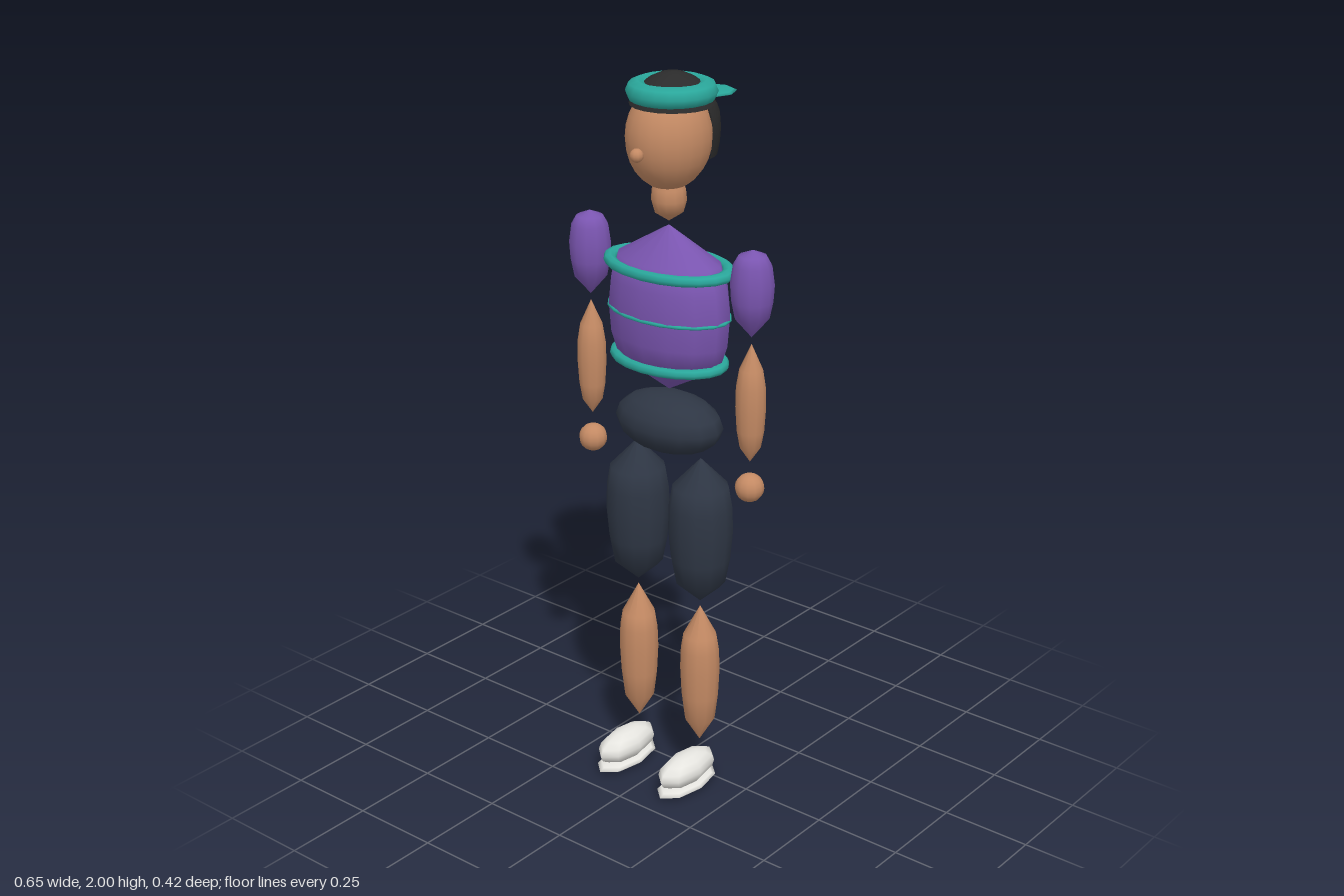
import * as THREE from 'three';

const mat = (name, color, opts = {}) => {
  const m = new THREE.MeshStandardMaterial({ color, ...opts });
  m.name = name;
  return m;
};

export function createModel() {
  const model = new THREE.Group();
  model.name = 'joggerFigure';
  const skin = mat('skin', 0xc48a64);
  const hair = mat('hair', 0x2b2b2b, { side: THREE.DoubleSide });
  const teal = mat('teal', 0x2aa79b);
  const purple = mat('purple', 0x7a55b0);
  const navy = mat('navy', 0x2e3644);
  const white = mat('shoeWhite', 0xe6e5e0);
  const BODY_Z = 0.03;

  const add = (name, geometry, material, x, y, z) => {
    const mesh = new THREE.Mesh(geometry, material);
    mesh.name = name;
    mesh.position.set(x, y, z);
    model.add(mesh);
    return mesh;
  };
  const ellipsoid = (name, material, [x, y, z], [rx, ry, rz], ws = 16, hs = 12) =>
    add(name, new THREE.SphereGeometry(1, ws, hs).scale(rx, ry, rz), material, x, y, z);
  // Turned body part; the profile is [radius, height] from bottom to top
  const turned = (name, material, profile, x = 0, z = BODY_Z, depth = 1, sides = 12, start = 0, sweep = Math.PI * 2) => {
    const points = profile.map(([r, y]) => new THREE.Vector2(r, y));
    return add(name, new THREE.LatheGeometry(points, sides, start, sweep).scale(1, 1, depth), material, x, 0, z);
  };
  const ring = (name, y, z, radius, tube, height, depth) =>
    add(name, new THREE.TorusGeometry(radius, tube, 8, 20).rotateX(Math.PI / 2).scale(1, height / tube, depth), teal, 0, y, z);

  // Head
  ellipsoid('head', skin, [0, 1.835, BODY_Z], [0.108, 0.137, 0.118], 20, 14);
  ellipsoid('nose', skin, [0, 1.812, 0.157], [0.018, 0.018, 0.018], 10, 8);
  turned('neck', skin, [[0, 1.613], [0.038, 1.638], [0.047, 1.67], [0.044, 1.70], [0.03, 1.735]]);

  // Hair: full crown above the forehead, open shell round the back
  turned('hairCrown', hair, [[0.111, 1.918], [0.1, 1.942], [0.083, 1.964], [0.06, 1.982], [0.032, 1.995], [0, 2]],
    0, 0.015, 1, 20);
  turned('hairBack', hair, [[0.114, 1.79], [0.12, 1.82], [0.123, 1.86], [0.12, 1.895], [0.111, 1.92]],
    0, 0.015, 1, 12, Math.PI * 0.52, Math.PI * 0.96);

  // Open-topped cap worn backwards
  ring('capBand', 1.951, 0.018, 0.088, 0.03, 0.029, 1);
  ellipsoid('capBrim', teal, [0, 1.919, -0.142], [0.067, 0.007, 0.068], 8, 6);

  // Torso and shirt bands
  turned('torso', purple, [[0, 1.15], [0.155, 1.235], [0.178, 1.30], [0.185, 1.38], [0.177, 1.45], [0.155, 1.512], [0, 1.603]],
    0, BODY_Z, 0.63, 14);
  ring('upperBand', 1.495, BODY_Z, 0.177, 0.02, 0.015, 0.64);
  ring('waistBand', 1.24, BODY_Z, 0.16, 0.017, 0.014, 0.69);
  ring('middleStripe', 1.371, BODY_Z, 0.181, 0.006, 0.005, 0.635);

  // Hips
  ellipsoid('hips', navy, [0, 1.058, BODY_Z], [0.163, 0.083, 0.107], 14, 8);

  for (const [side, s] of [['left', 1], ['right', -1]]) {
    // Arm
    const ax = s * 0.27;
    turned(`${side}UpperArm`, purple,
      [[0, 1.357], [0.045, 1.41], [0.054, 1.455], [0.057, 1.50], [0.05, 1.55], [0.036, 1.575], [0, 1.59]], ax);
    turned(`${side}Forearm`, skin,
      [[0, 1.013], [0.028, 1.055], [0.036, 1.10], [0.04, 1.165], [0.039, 1.22], [0.031, 1.27], [0, 1.34]], ax);
    ellipsoid(`${side}Hand`, skin, [ax, 0.94, BODY_Z], [0.039, 0.039, 0.039], 12, 10);

    // Leg
    const lx = s * 0.109;
    turned(`${side}Thigh`, navy,
      [[0, 0.558], [0.068, 0.62], [0.081, 0.69], [0.088, 0.77], [0.086, 0.84], [0.076, 0.90], [0, 0.98]], lx, 0.032);
    turned(`${side}Shin`, skin,
      [[0, 0.125], [0.042, 0.195], [0.051, 0.27], [0.055, 0.35], [0.053, 0.41], [0.046, 0.455], [0, 0.543]], lx, 0.032);

    // Shoe and flat sole
    ellipsoid(`${side}Shoe`, white, [lx, 0.06, 0.09], [0.051, 0.044, 0.112], 8, 8);
    ellipsoid(`${side}Sole`, white, [lx, 0.014, 0.09], [0.054, 0.014, 0.116], 8, 6);
  }
  return model;
}
